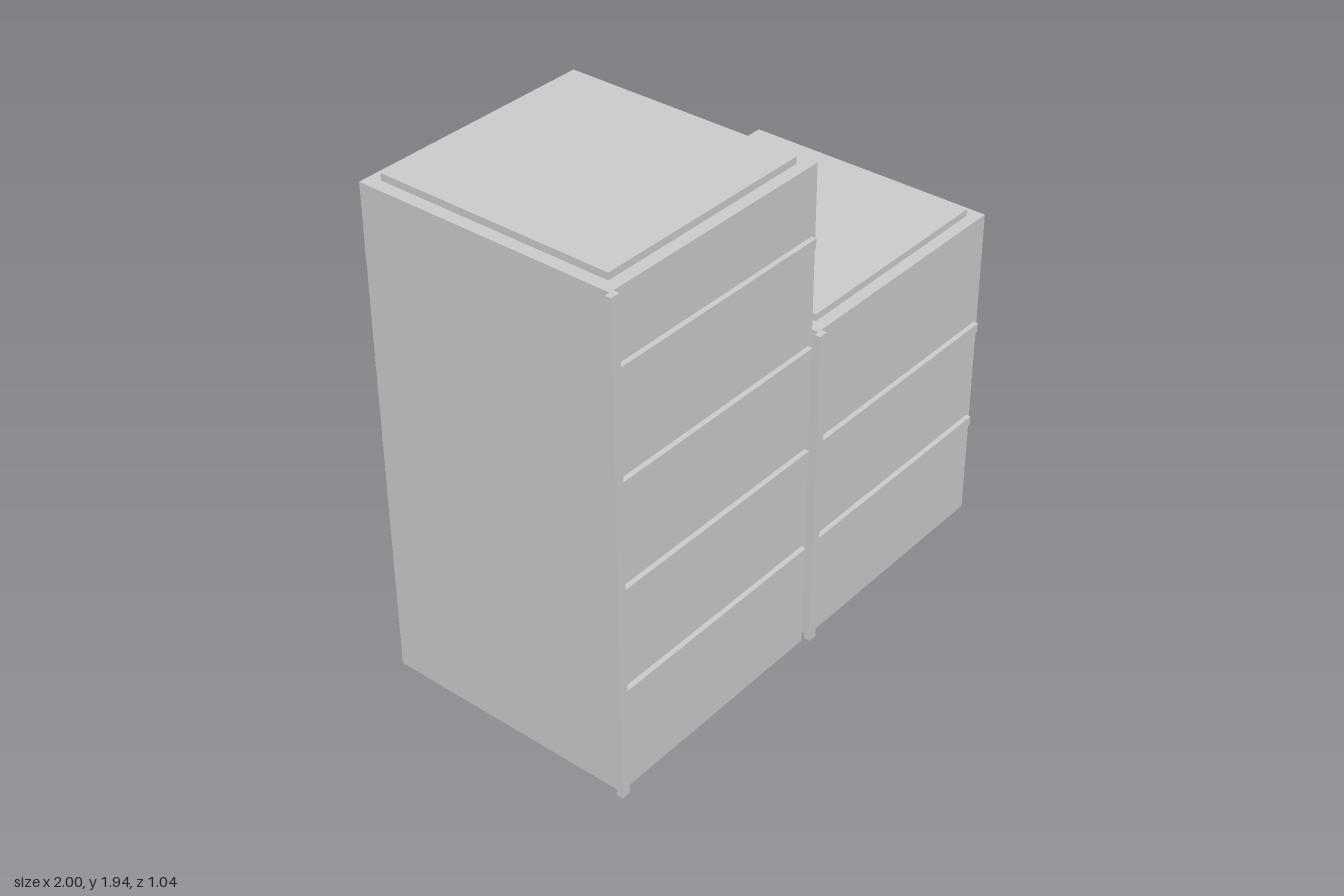
import * as THREE from 'three';

const concrete = new THREE.MeshStandardMaterial({ color: 0xcccccc });
concrete.name = 'concrete grey';

// Axis-aligned box given by its limits
function block(name, x0, x1, y0, y1, z0, z1) {
  const mesh = new THREE.Mesh(new THREE.BoxGeometry(x1 - x0, y1 - y0, z1 - z0), concrete);
  mesh.name = name;
  mesh.position.set((x0 + x1) / 2, (y0 + y1) / 2, (z0 + z1) / 2);
  return mesh;
}

const BACK = -0.503, FRONT = 0.497;
const FLOOR = 0.408, LEDGE = 0.036, PROUD = 0.019;

// One tower: body, roof slab, corner pilaster and a ledge per floor, front and back
function makeTower(name, x0, x1, height, floors) {
  const tower = new THREE.Group();
  tower.name = name;
  tower.add(block('body', x0, x1, 0, height, BACK, FRONT));
  tower.add(block('roofSlab', x0 + 0.047, x1 - 0.048, height, height + 0.026, -0.457, 0.452));
  tower.add(block('cornerPilaster', x0 - 0.02, x0 + 0.016, 0, height, FRONT, 0.52));
  for (let i = 1; i <= floors; i++) {
    const y = i * FLOOR - 0.012;
    tower.add(block('frontLedge', x0 + 0.016, x1 - 0.02, y, y + LEDGE, FRONT, FRONT + PROUD));
    tower.add(block('backLedge', x0 + 0.016, x1 - 0.02, y, y + LEDGE, BACK - PROUD, BACK));
  }
  return tower;
}

export function createModel() {
  const model = new THREE.Group();
  model.name = 'twinTowerBlock';
  model.add(makeTower('tallTower', -0.98, -0.008, 1.91, 4));
  model.add(makeTower('shortTower', 0.026, 1, 1.274, 2));
  return model;
}
